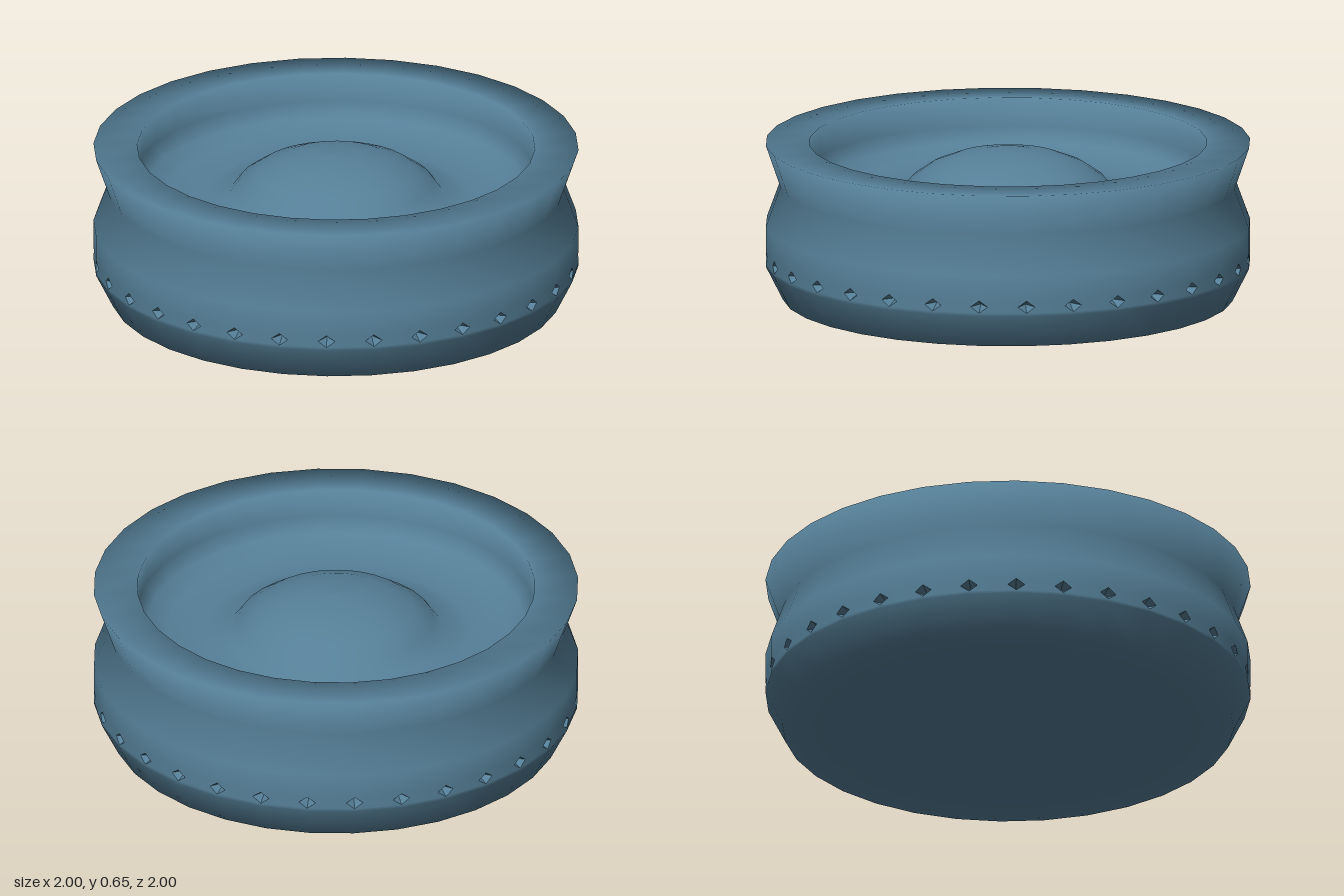
import * as THREE from 'three';

const SIDES = 32;             // corners of the turned body
const LOW = 0.154, MID = 0.18, HIGH = 0.206; // heights of the notched band
const NOTCH_WIDTH = 0.18;     // half width of a notch, as a share of one side
const NOTCH_DEPTH = 0.06;

// Underside and lower flare
const baseProfile = [[0, 0], [0.75, 0], [0.93, 0], [1, 0.14], [1, LOW]];

// Outer wall above the band, flat rim, bowl floor and the raised dome
const upperProfile = [
  [1, HIGH], [1, 0.31], [0.94, 0.475], [1, 0.65],
  [0.82, 0.65], [0.82, 0.53], [0.78, 0.47], [0.7, 0.435], [0.56, 0.42],
  [0.44, 0.44], [0.4, 0.495], [0.32, 0.55], [0.22, 0.59], [0.11, 0.61], [0, 0.615],
];

const turned = (profile) =>
  new THREE.LatheGeometry(profile.map(([r, y]) => new THREE.Vector2(r, y)), SIDES);

// Point on the 32-sided outline: side k, share t along it
function outline(k, t, y, r = 1) {
  const at = (i) => {
    const a = (i / SIDES) * Math.PI * 2;
    return new THREE.Vector3(Math.sin(a) * r, y, Math.cos(a) * r);
  };
  return at(k).lerp(at(k + 1), t);
}

const fromTriangles = (points) => {
  const geometry = new THREE.BufferGeometry().setFromPoints(points);
  geometry.computeVertexNormals();
  return geometry;
};

// Wall between the notches, shaded round
function bandGeometry() {
  const points = [];
  for (let k = 0; k < SIDES; k++) {
    const a = outline(k, NOTCH_WIDTH, MID), b = outline(k, 1 - NOTCH_WIDTH, MID);
    const l0 = outline(k, 0, LOW), l1 = outline(k, 1, LOW);
    const h0 = outline(k, 0, HIGH), h1 = outline(k, 1, HIGH);
    points.push(l0, l1, b, l0, b, a, a, b, h1, a, h1, h0);
  }
  const geometry = fromTriangles(points);
  points.forEach((p, i) => {
    const n = new THREE.Vector3(p.x, 0, p.z).normalize();
    geometry.attributes.normal.setXYZ(i, n.x, n.y, n.z);
  });
  return geometry;
}

// Four-sided diamond pits, one at each corner
function notchGeometry() {
  const points = [];
  for (let k = 0; k < SIDES; k++) {
    const tip = outline(k, 0, MID, 1 - NOTCH_DEPTH);
    const ring = [
      outline(k, 0, LOW), outline(k, NOTCH_WIDTH, MID),
      outline(k, 0, HIGH), outline(k - 1, 1 - NOTCH_WIDTH, MID),
    ];
    ring.forEach((p, i) => points.push(p, ring[(i + 1) % 4], tip));
  }
  return fromTriangles(points);
}

export function createModel() {
  const group = new THREE.Group();
  group.name = 'dish';
  const material = new THREE.MeshStandardMaterial({ color: 0x557f97 });
  const parts = {
    base: turned(baseProfile),
    bowl: turned(upperProfile),
    band: bandGeometry(),
    notches: notchGeometry(),
  };
  for (const [name, geometry] of Object.entries(parts)) {
    const mesh = new THREE.Mesh(geometry, material);
    mesh.name = name;
    group.add(mesh);
  }
  return group;
}
